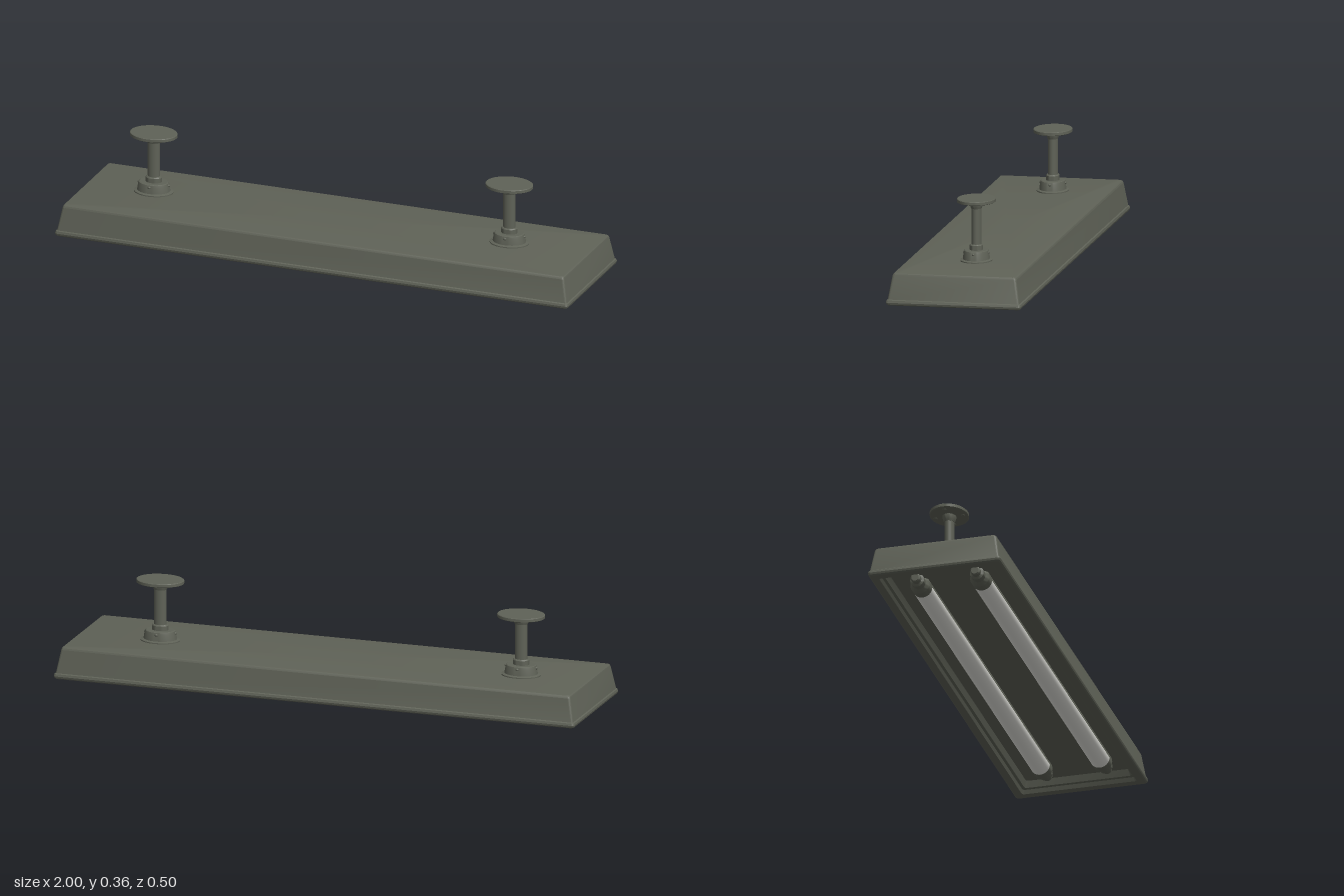
import * as THREE from 'three';
import { toCreasedNormals } from 'three/addons/utils/BufferGeometryUtils.js';

const paint = new THREE.MeshStandardMaterial({ color: 0x5f6257 });
paint.name = 'olive grey paint';
const glass = new THREE.MeshStandardMaterial({ color: 0xe4e4de });
glass.name = 'white lamp glass';

function add(parent, name, geometry, material = paint) {
  const mesh = new THREE.Mesh(geometry, material);
  mesh.name = name;
  parent.add(mesh);
  return mesh;
}

// Rounded rectangle loop with half sizes hx, hz
function loop(hx, hz, y) {
  const r = Math.min(0.01, hx, hz), steps = 8, points = [];
  [[1, 1], [-1, 1], [-1, -1], [1, -1]].forEach(([sx, sz], k) => {
    for (let i = 0; i <= steps; i++) {
      const a = (k + i / steps) * Math.PI / 2;
      points.push([sx * (hx - r) + r * Math.cos(a), y, sz * (hz - r) + r * Math.sin(a)]);
    }
  });
  return points;
}

// Skin over a list of rounded rectangle sections
function loft(sections) {
  const rings = sections.map(s => loop(...s));
  const n = rings[0].length, index = [];
  for (let i = 0; i < rings.length - 1; i++) {
    for (let j = 0; j < n; j++) {
      const a = i * n + j, b = i * n + (j + 1) % n;
      index.push(a, a + n, b, b, a + n, b + n);
    }
  }
  const g = new THREE.BufferGeometry();
  g.setAttribute('position', new THREE.Float32BufferAttribute(rings.flat(2), 3));
  g.setIndex(index);
  return toCreasedNormals(g, 0.3);
}

function lathe(points, segments = 40) {
  const g = new THREE.LatheGeometry(points.map(p => new THREE.Vector2(...p)), segments);
  return toCreasedNormals(g, 0.5);
}

// Ceiling mount, stretched to an oval along x
function createMount(x) {
  const mount = new THREE.Group();
  mount.name = 'ceilingMount';
  mount.position.set(x, 0, -0.0195);
  mount.scale.x = 1.27;
  add(mount, 'mountFoot', lathe([
    [0, 0.128], [0.058, 0.128], [0.058, 0.134], [0.049, 0.137], [0.046, 0.16],
    [0.044, 0.168], [0.041, 0.17], [0.024, 0.17], [0.024, 0.187], [0.021, 0.191], [0, 0.191]]));
  add(mount, 'mountPole', new THREE.CylinderGeometry(0.018, 0.018, 0.15, 24, 1, true))
    .position.y = 0.255;
  add(mount, 'poleCollar', lathe([
    [0, 0.322], [0.019, 0.322], [0.021, 0.328], [0.025, 0.342], [0.025, 0.347], [0, 0.347]]));
  add(mount, 'ceilingPlate', lathe([
    [0, 0.346], [0.067, 0.346], [0.07, 0.348], [0.07, 0.358], [0.068, 0.36], [0, 0.36]], 48));
  for (let i = 0; i < 4; i++) {
    const a = i * Math.PI / 2, c = Math.cos(a), s = Math.sin(a);
    const screw = add(mount, 'footScrew', new THREE.SphereGeometry(0.005, 12, 8));
    screw.position.set(c * 0.045, 0.16, s * 0.045);
    const bolt = add(mount, 'plateBolt', new THREE.CylinderGeometry(0.008, 0.006, 0.004, 12));
    bolt.position.set(c * 0.052, 0.345, s * 0.052);
  }
  return mount;
}

// Half cylinder along x, its arc on the upper or lower side
function halfTube(radius, length, upper) {
  const g = new THREE.CylinderGeometry(radius, radius, length, 20, 1, true, upper ? Math.PI : 0, Math.PI);
  return g.rotateZ(-Math.PI / 2);
}

// Lamp: white lower half, painted upper half, stepped end caps
function createLamp(z) {
  const lamp = new THREE.Group();
  lamp.name = 'lamp';
  lamp.position.set(0, 0.037, z);
  add(lamp, 'lampTube', halfTube(0.036, 1.62, false), glass);
  add(lamp, 'lampBacking', halfTube(0.036, 1.62, true));
  for (const side of [-1, 1]) {
    const cap = add(lamp, 'lampCap', lathe([
      [0, 0.79], [0.0365, 0.79], [0.0365, 0.825], [0.03, 0.835], [0.026, 0.84],
      [0.026, 0.865], [0.018, 0.87], [0.018, 0.888], [0.014, 0.892], [0, 0.892]], 28));
    cap.rotation.z = -side * Math.PI / 2;
  }
  return lamp;
}

export function createModel() {
  const model = new THREE.Group();
  model.name = 'ceilingLight';

  // Sloped tray: inner panel, inner wall, rim, outer wall, top
  add(model, 'housing', loft([
    [0, 0, 0.055], [0.94, 0.195, 0.055], [0.947, 0.202, 0.03], [0.957, 0.212, 0.028],
    [0.962, 0.216, 0.013], [0.992, 0.244, 0.013], [0.998, 0.248, 0.017],
    [1, 0.25, 0.024], [0.998, 0.248, 0.032], [0.994, 0.244, 0.035], [0.978, 0.23, 0.12],
    [0.976, 0.227, 0.126], [0.973, 0.224, 0.129], [0.968, 0.219, 0.13], [0, 0, 0.13]]));

  model.add(createMount(-0.718), createMount(0.668));
  model.add(createLamp(0.125), createLamp(-0.1));
  return model;
}
